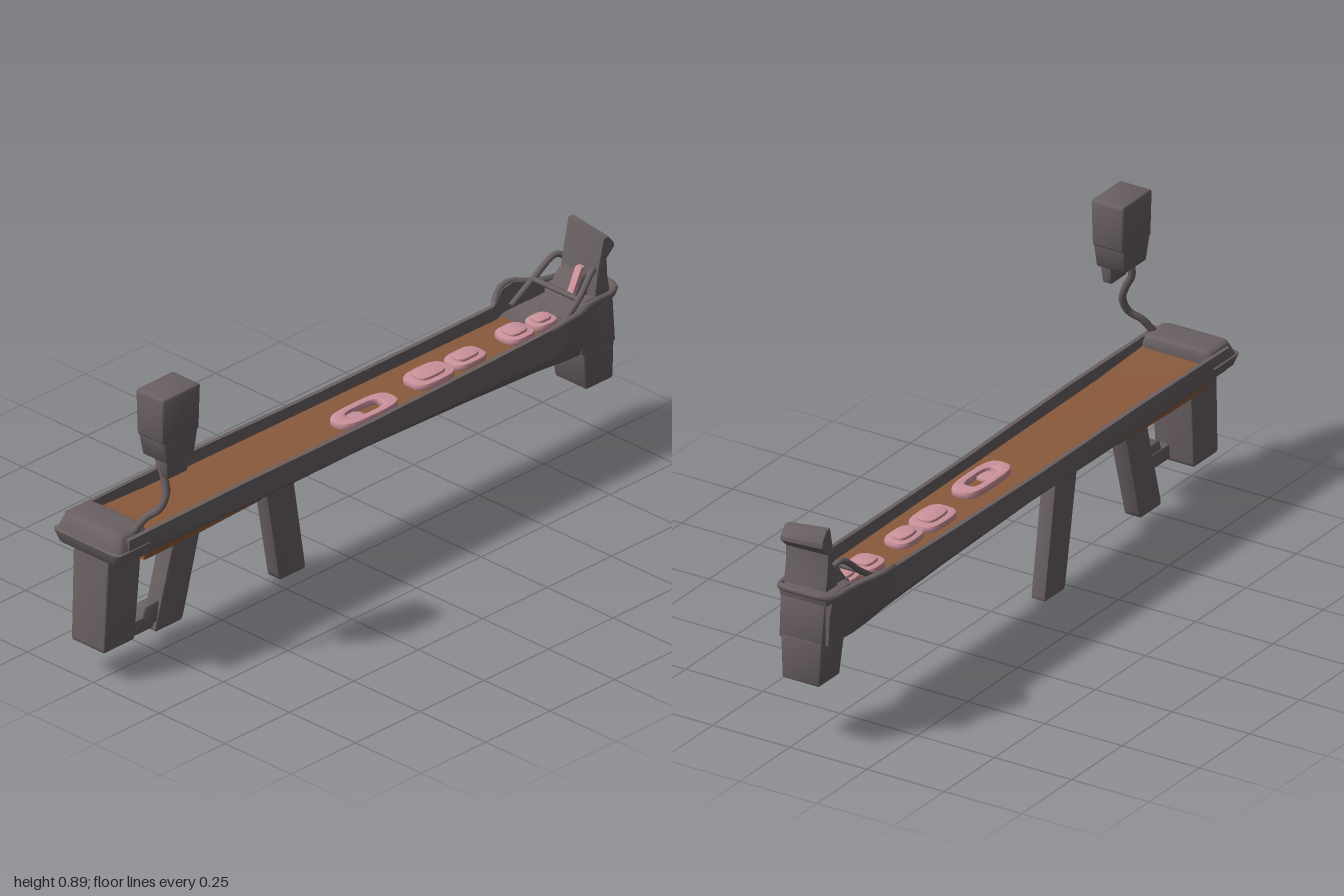
import * as THREE from 'three';
import { toCreasedNormals } from 'three/addons/utils/BufferGeometryUtils.js';
import { RoundedBoxGeometry } from 'three/addons/geometries/RoundedBoxGeometry.js';

const CZ = -0.033; // centre line of the trough

// Skin between closed rings of [x, y, z] points that advance along +x, with end caps
function loft(rings) {
  const pos = [];
  const tri = (a, b, c) => pos.push(...a, ...b, ...c);
  const n = rings[0].length;
  const mid = r => [0, 1, 2].map(k => r.reduce((s, p) => s + p[k], 0) / n);
  const first = rings[0], last = rings[rings.length - 1];
  const c0 = mid(first), c1 = mid(last);
  for (let j = 0; j < n; j++) {
    const k = (j + 1) % n;
    for (let i = 0; i + 1 < rings.length; i++) {
      const a = rings[i], b = rings[i + 1];
      tri(a[j], a[k], b[k]);
      tri(a[j], b[k], b[j]);
    }
    tri(c0, first[k], first[j]);
    tri(c1, last[j], last[k]);
  }
  const g = new THREE.BufferGeometry();
  g.setAttribute('position', new THREE.Float32BufferAttribute(pos, 3));
  return toCreasedNormals(g, 0.6);
}

// Rounded block between two rectangles [x0, x1, z0, z1, y]
function block(bottom, top, round = 0.06) {
  const g = new RoundedBoxGeometry(1, 1, 1, 2, round);
  const p = g.attributes.position;
  const mix = THREE.MathUtils.lerp;
  for (let i = 0; i < p.count; i++) {
    const t = p.getY(i) + 0.5;
    const [x0, x1, z0, z1, y] = bottom.map((v, k) => mix(v, top[k], t));
    p.setXYZ(i, mix(x0, x1, p.getX(i) + 0.5), y, mix(z0, z1, p.getZ(i) + 0.5));
  }
  return toCreasedNormals(g, 0.6);
}

function tube(points, radius) {
  const curve = new THREE.CatmullRomCurve3(points.map(p => new THREE.Vector3(...p)));
  return new THREE.TubeGeometry(curve, 40, radius, 8, false);
}

export function createModel() {
  const model = new THREE.Group();
  const material = (name, color) => {
    const m = new THREE.MeshStandardMaterial({ color });
    m.name = name;
    return m;
  };
  const grey = material('warm grey', 0x6a6062);
  const brown = material('brown', 0x8a5a3c);
  const pink = material('pink', 0xcc929c);
  const add = (name, geometry, mat = grey) => {
    const mesh = new THREE.Mesh(geometry, mat);
    mesh.name = name;
    model.add(mesh);
    return mesh;
  };

  // Trough stations: x, rim y, side y, bottom y, floor y, half widths of rim, side, bottom
  const stations = [
    [-0.95, 0.45, 0.40, 0.380, 0.41, 0.122, 0.122, 0.113],
    [-0.50, 0.455, 0.388, 0.372, 0.41, 0.121, 0.121, 0.108],
    [0.00, 0.45, 0.385, 0.365, 0.41, 0.117, 0.117, 0.095],
    [0.40, 0.453, 0.380, 0.342, 0.41, 0.113, 0.113, 0.080],
    [0.69, 0.458, 0.374, 0.325, 0.41, 0.110, 0.114, 0.074],
    [0.745, 0.482, 0.385, 0.320, 0.41, 0.132, 0.124, 0.074],
    [0.79, 0.487, 0.390, 0.316, 0.41, 0.134, 0.126, 0.074],
    [0.85, 0.475, 0.395, 0.312, 0.43, 0.106, 0.100, 0.072],
    [0.96, 0.468, 0.400, 0.315, 0.455, 0.082, 0.070, 0.066]
  ];
  const wall = 0.013;
  add('trough', loft(stations.map(([x, yt, ym, yb, yf, ht, hm, hb]) => [
    [-hb, yb], [-hm, ym], [-ht, yt], [-ht + wall, yt], [-ht + wall, yf],
    [ht - wall, yf], [ht - wall, yt], [ht, yt], [hm, ym], [hb, yb]
  ].map(([z, y]) => [x, y, CZ + z]))));

  // Flat slabs in the trough: rows of [x, bottom y, top y, half width]
  const slab = rows => loft(rows.map(([x, y0, y1, h]) =>
    [[x, y0, CZ - h], [x, y1, CZ - h], [x, y1, CZ + h], [x, y0, CZ + h]]));
  add('troughFloor', slab([
    [-0.87, 0.408, 0.426, 0.1075], [-0.65, 0.408, 0.417, 0.1075],
    [0, 0.408, 0.416, 0.103], [0.4, 0.408, 0.416, 0.099], [0.72, 0.408, 0.416, 0.096]
  ]), brown);
  add('troughUnderside', slab([
    [-0.87, 0.352, 0.385, 0.10], [-0.70, 0.357, 0.38, 0.105], [-0.42, 0.367, 0.375, 0.105]
  ]), brown);
  add('endCap', block([-0.99, -0.86, -0.145, 0.085, 0.378], [-1, -0.86, -0.162, 0.092, 0.42], 0.1));
  add('endCapTop', block([-1, -0.86, -0.16, 0.092, 0.405], [-0.97, -0.865, -0.14, 0.07, 0.464], 0.15));

  // Legs
  add('endLeg', block([-0.995, -0.875, -0.088, 0.036, 0.098], [-0.985, -0.855, -0.09, 0.045, 0.40], 0.04));
  add('endLegToe', block([-0.90, -0.80, -0.01, 0.034, 0.106], [-0.90, -0.785, -0.01, 0.034, 0.15], 0.1));
  add('endLegToeTip', block([-0.85, -0.785, -0.008, 0.034, 0.118], [-0.83, -0.775, -0.006, 0.032, 0.178], 0.1));
  add('slantedLeg', block([-0.735, -0.628, -0.075, -0.024, 0.043], [-0.642, -0.54, -0.075, -0.018, 0.39], 0.05));
  add('middleLeg', block([-0.228, -0.126, -0.092, -0.047, 0], [-0.297, -0.19, -0.092, -0.045, 0.385], 0.05));
  add('headLeg', block([0.877, 0.98, -0.082, 0.038, 0.193], [0.858, 0.978, -0.088, 0.045, 0.325], 0.05));
  add('headLegCollar', block([0.85, 0.978, -0.09, 0.05, 0.312], [0.84, 0.962, -0.09, 0.055, 0.47], 0.04));

  // Lip around the head end
  const lipSide = [
    [0.70, 0.458, 0.108], [0.745, 0.48, 0.131], [0.79, 0.485, 0.133], [0.84, 0.475, 0.108],
    [0.90, 0.468, 0.09], [0.965, 0.467, 0.084], [0.985, 0.472, 0.07]
  ];
  add('headLip', tube([
    ...lipSide.map(([x, y, z]) => [x, y, CZ + z]),
    ...lipSide.map(([x, y, z]) => [x, y, CZ - z]).reverse()
  ], 0.01));
  add('headDeck', block([0.86, 0.985, -0.11, 0.045, 0.445], [0.86, 0.99, -0.11, 0.045, 0.473]));

  // Upright headrest with an overhanging top
  const profile = new THREE.Shape([
    [0.90, 0.46], [0.955, 0.46], [0.943, 0.53], [0.942, 0.582], [0.97, 0.612],
    [0.97, 0.624], [0.95, 0.654], [0.937, 0.654], [0.925, 0.60], [0.912, 0.54]
  ].map(p => new THREE.Vector2(...p)));
  const post = new THREE.ExtrudeGeometry(profile, {
    depth: 0.128, bevelEnabled: true, bevelSize: 0.004, bevelThickness: 0.005, bevelSegments: 2
  });
  // The top edge falls slightly towards +z
  const pp = post.attributes.position;
  for (let i = 0; i < pp.count; i++) {
    const lift = Math.max(0, pp.getY(i) - 0.56) * 0.16;
    pp.setY(i, pp.getY(i) - lift * pp.getZ(i) / 0.128);
  }
  post.translate(0, 0, -0.084);
  add('headrest', toCreasedNormals(post, 0.6));

  // Slanted rods, backing plate and narrow pad in front of the headrest
  for (const side of [-1, 1]) {
    add('headRod', tube([
      [0.75, 0.44, CZ + side * 0.092], [0.83, 0.495, CZ + side * 0.086],
      [0.90, 0.55, CZ + side * 0.07], [0.925, 0.54, CZ + side * 0.058]
    ], 0.009));
  }
  add('headCrossRod', tube([[0.83, 0.495, CZ - 0.086], [0.83, 0.495, CZ + 0.086]], 0.008));
  add('headPlate', block([0.81, 0.92, -0.09, 0.025, 0.42], [0.885, 0.92, -0.075, 0.01, 0.53]));
  add('headPad', block([0.845, 0.86, -0.01, 0.012, 0.48], [0.885, 0.90, -0.012, 0.01, 0.555]), pink);

  // Soft pink patches lying on the floor: x, z, half length, half width, hole scale
  const superellipse = (target, a, b) => {
    const pts = [];
    for (let i = 0; i < 24; i++) {
      const t = i / 24 * Math.PI * 2, c = Math.cos(t), s = Math.sin(t);
      pts.push(new THREE.Vector2(a * Math.sign(c) * Math.abs(c) ** 0.6, b * Math.sign(s) * Math.abs(s) ** 0.6));
    }
    return target.setFromPoints(pts);
  };
  const pad = (name, x, y, z, a, b, height, hole) => {
    const shape = superellipse(new THREE.Shape(), a - 0.006, b - 0.006);
    if (hole) shape.holes.push(superellipse(new THREE.Path(), a * hole, b * hole));
    const g = new THREE.ExtrudeGeometry(shape, {
      depth: height, bevelEnabled: true, bevelSize: 0.006, bevelThickness: 0.005, bevelSegments: 2
    });
    g.rotateX(-Math.PI / 2);
    add(name, toCreasedNormals(g, 0.7), pink).position.set(x, y, z);
  };
  pad('pinkRing', 0.06, 0.416, -0.008, 0.112, 0.045, 0.014, 0.62);
  pad('pinkRingFilling', 0.01, 0.414, -0.004, 0.045, 0.03, 0.006);
  for (const [x, z, a, b] of [
    [0.33, -0.026, 0.075, 0.048], [0.47, -0.025, 0.06, 0.041],
    [0.665, -0.028, 0.05, 0.046], [0.765, -0.025, 0.042, 0.036]
  ]) {
    pad('pinkPatch', x, 0.416, z, a, b, 0.012);
    pad('pinkPatchTop', x, 0.428, z, a * 0.65, b * 0.6, 0.008);
  }

  // Monitor on a curved stalk
  add('monitorTop', block([-0.896, -0.757, 0.064, 0.166, 0.75], [-0.9, -0.753, 0.062, 0.168, 0.89], 0.06));
  add('monitorBase', block([-0.878, -0.772, 0.068, 0.162, 0.683], [-0.897, -0.756, 0.063, 0.166, 0.78], 0.06));
  add('monitorNeck', block([-0.865, -0.79, 0.125, 0.152, 0.63], [-0.875, -0.78, 0.118, 0.156, 0.695]));
  add('monitorStalk', tube([
    [-0.825, 0.69, 0.083], [-0.83, 0.65, 0.085], [-0.835, 0.615, 0.105], [-0.84, 0.57, 0.121],
    [-0.86, 0.525, 0.115], [-0.885, 0.497, 0.088], [-0.91, 0.455, 0.065]
  ], 0.011));

  return model;
}
